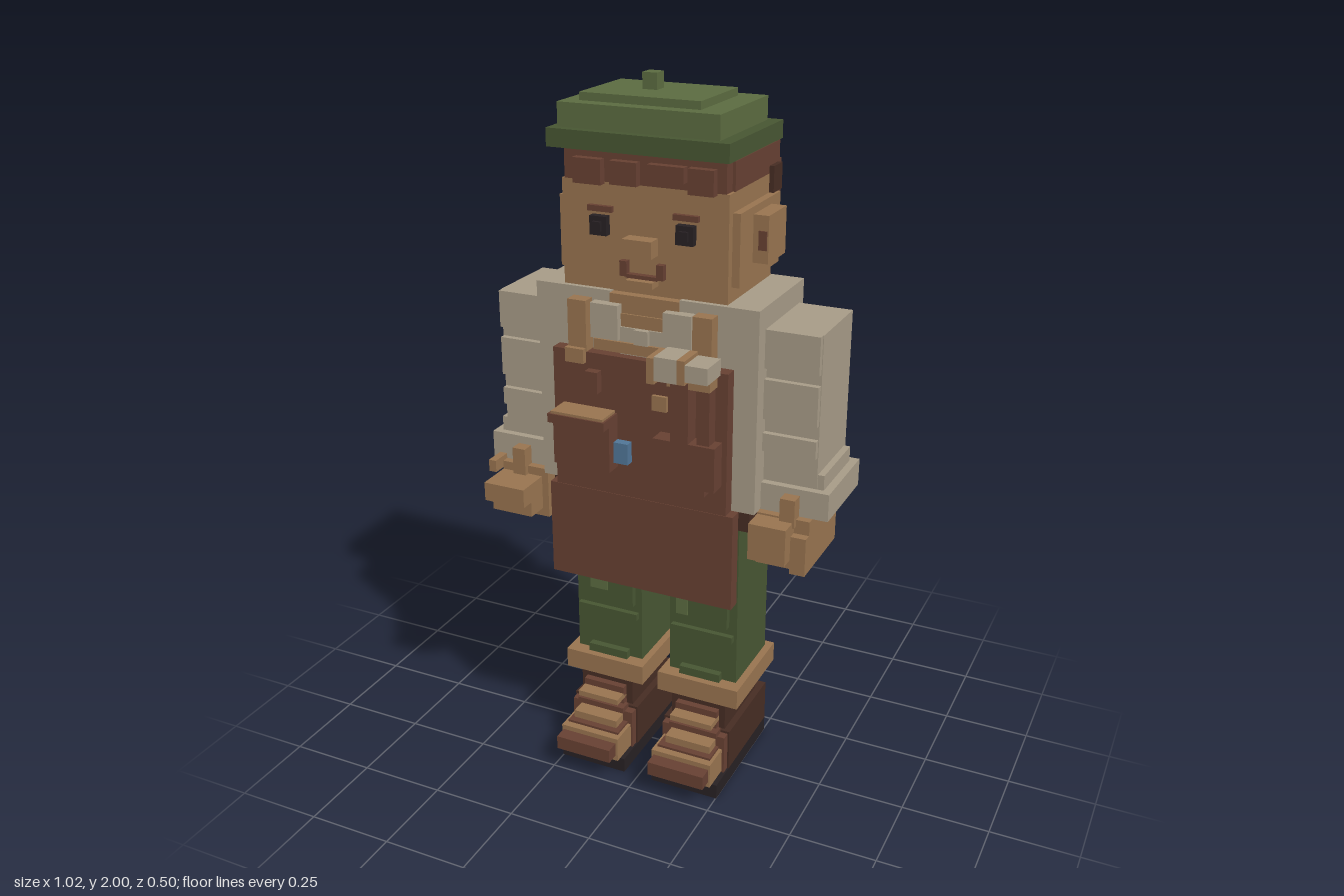
import * as THREE from 'three';

const mat = (name, color) => {
  const m = new THREE.MeshStandardMaterial({ color });
  m.name = name;
  return m;
};

export function createModel() {
  const root = new THREE.Group();
  root.name = 'workerFigure';
  const skin = mat('skinTan', 0x97734f), brown = mat('leatherBrown', 0x664032);
  const dark = mat('darkBrown', 0x462c23), black = mat('nearBlack', 0x272023);
  const shirt = mat('shirtBeige', 0xa69a86), green = mat('trouserGreen', 0x475532);
  const moss = mat('hatGreen', 0x5b6b40), blue = mat('blue', 0x507596);

  const part = (name) => {
    const g = new THREE.Group();
    g.name = name;
    root.add(g);
    return g;
  };
  // Box given by its limits on each axis
  const box = (g, name, m, x0, x1, y0, y1, z0, z1) => {
    const b = new THREE.Mesh(new THREE.BoxGeometry(x1 - x0, y1 - y0, z1 - z0), m);
    b.position.set((x0 + x1) / 2, (y0 + y1) / 2, (z0 + z1) / 2);
    b.name = name;
    g.add(b);
  };
  // The same box on both sides
  const pair = (g, name, m, x0, x1, ...r) => {
    box(g, name + 'Left', m, x0, x1, ...r);
    box(g, name + 'Right', m, -x1, -x0, ...r);
  };

  // Hat: brim, two tiers and stem, set slightly to one side
  const hat = part('hat');
  box(hat, 'brim', green, -0.277, 0.231, 1.825, 1.873, -0.235, 0.127);
  box(hat, 'crown', moss, -0.256, 0.195, 1.873, 1.936, -0.214, 0.102);
  box(hat, 'crownTop', moss, -0.213, 0.126, 1.936, 1.957, -0.175, 0.062);
  box(hat, 'stem', moss, -0.086, -0.044, 1.957, 2, -0.087, -0.045);

  // Head and ears
  const head = part('head');
  box(head, 'skull', skin, -0.233, 0.233, 1.47, 1.75, -0.17, 0.127);
  pair(head, 'cheek', skin, 0.233, 0.254, 1.51, 1.7, -0.17, 0.104);
  box(head, 'jaw', skin, -0.19, 0.19, 1.45, 1.47, -0.15, 0.105);
  box(head, 'neck', skin, -0.1, 0.1, 1.38, 1.46, -0.13, 0.13);
  pair(head, 'ear', skin, 0.254, 0.296, 1.555, 1.68, -0.106, 0.018);
  pair(head, 'earInner', brown, 0.27, 0.292, 1.59, 1.64, 0.018, 0.022);

  // Face
  const face = part('face');
  pair(face, 'eye', black, 0.097, 0.145, 1.615, 1.665, 0.127, 0.148);
  pair(face, 'pupil', black, 0.11, 0.133, 1.627, 1.652, 0.148, 0.157);
  pair(face, 'brow', brown, 0.085, 0.155, 1.675, 1.69, 0.127, 0.14);
  box(face, 'nose', skin, -0.042, 0.04, 1.575, 1.62, 0.127, 0.17);
  pair(face, 'mouthCorner', brown, 0.042, 0.062, 1.515, 1.555, 0.127, 0.145);
  box(face, 'mouth', brown, -0.045, 0.045, 1.512, 1.522, 0.127, 0.145);
  box(face, 'lip', skin, -0.035, 0.04, 1.495, 1.512, 0.127, 0.165);

  // Hair: cap, uneven fringe and back with a ragged hem
  const hair = part('hair');
  box(hair, 'hairCap', brown, -0.233, 0.233, 1.75, 1.825, -0.212, 0.09);
  box(hair, 'hairline', brown, -0.225, 0.225, 1.75, 1.825, 0.09, 0.127);
  [[-0.19, -0.11, 1.745], [-0.085, -0.01, 1.75], [0.02, 0.12, 1.77], [0.13, 0.2, 1.745]].forEach(
    ([a, b, y], i) => box(hair, 'fringe' + i, brown, a, b, y, 1.81, 0.127, 0.15));
  pair(hair, 'sideburn', dark, 0.233, 0.246, 1.7, 1.77, -0.2, -0.14);
  box(hair, 'hairBack', dark, -0.233, 0.233, 1.6, 1.76, -0.212, -0.17);
  box(hair, 'hairBackLayer', brown, -0.23, 0.23, 1.61, 1.775, -0.233, -0.21);
  for (let i = 0; i < 7; i++)
    box(hair, 'hairTip' + i, brown, -0.23 + i * 0.066, -0.175 + i * 0.066,
      1.555 + (i % 3) * 0.018, 1.61, -0.23, -0.17);

  // Shirt body, shoulders and collar
  const body = part('shirt');
  box(body, 'torso', shirt, -0.317, 0.32, 0.9, 1.41, -0.195, 0.127);
  pair(body, 'shoulder', shirt, 0.1, 0.32, 1.41, 1.465, -0.195, 0.127);
  box(body, 'collarBack', shirt, -0.2, 0.2, 1.41, 1.465, -0.21, -0.13);
  pair(body, 'collarWing', shirt, 0.065, 0.145, 1.34, 1.435, 0.127, 0.155);
  box(body, 'placket', shirt, -0.065, 0.065, 1.3, 1.375, 0.127, 0.14);
  box(body, 'neckline', skin, -0.07, 0.07, 1.375, 1.41, 0.125, 0.135);
  box(body, 'neckBand', skin, -0.14, 0.1, 1.305, 1.335, 0.14, 0.148);
  box(body, 'button', shirt, -0.02, 0.02, 1.335, 1.375, 0.14, 0.152);
  box(body, 'backPanel', shirt, -0.28, 0.28, 0.97, 1.4, -0.212, -0.195);
  box(body, 'backPatch', shirt, -0.106, 0.104, 1.11, 1.32, -0.23, -0.21);
  box(body, 'backFold', shirt, -0.085, 0.085, 1.19, 1.24, -0.25, -0.23);
  box(body, 'backYoke', shirt, -0.13, 0.13, 1.35, 1.38, -0.225, -0.21);
  for (let i = 0; i < 7; i++)
    pair(body, 'backPleat' + i, shirt, 0.21, 0.252 - (i % 2) * 0.015,
      1.03 + i * 0.05, 1.055 + i * 0.05, -0.235, -0.21);

  // Straps and belt
  const straps = part('straps');
  pair(straps, 'backStrap', brown, 0.15, 0.21, 1.0, 1.445, -0.252, -0.21);
  for (let i = 0; i < 5; i++)
    pair(straps, 'strapStitch' + i, skin, 0.205, 0.216,
      1.03 + i * 0.08, 1.06 + i * 0.08, -0.235, -0.21);
  pair(straps, 'shoulderStrap', skin, 0.153, 0.207, 1.3, 1.44, 0.127, 0.165);
  box(straps, 'strapEnd', skin, -0.21, -0.155, 1.27, 1.31, 0.16, 0.18);
  box(straps, 'belt', dark, -0.3, 0.297, 0.83, 0.9, -0.208, 0.1);

  // Sleeves with folds, cuffs and hands
  const arms = part('arms');
  pair(arms, 'sleeve', shirt, 0.32, 0.47, 0.98, 1.405, -0.165, 0.066);
  [[1.3, 1.405], [1.16, 1.27], [1.07, 1.12]].forEach(([a, b], i) =>
    pair(arms, 'sleeveFold' + i, shirt, 0.32, 0.468, a, b, 0.066, 0.083));
  pair(arms, 'cuffUpper', shirt, 0.29, 0.488, 0.975, 1.02, -0.153, 0.062);
  pair(arms, 'cuff', shirt, 0.26, 0.51, 0.9, 0.978, -0.175, 0.083);
  pair(arms, 'hand', skin, 0.32, 0.468, 0.75, 0.9, -0.12, 0.105);
  box(arms, 'fingersLeft', skin, 0.32, 0.425, 0.79, 0.895, 0.105, 0.17);
  box(arms, 'fingerTipLeft', skin, 0.425, 0.468, 0.75, 0.86, 0.105, 0.13);
  box(arms, 'thumbLeft', skin, 0.388, 0.43, 0.88, 0.96, 0.083, 0.12);
  box(arms, 'fingersRight', skin, -0.467, -0.34, 0.775, 0.83, 0.105, 0.17);
  box(arms, 'fingerTipsRight', skin, -0.467, -0.34, 0.82, 0.875, 0.105, 0.21);
  box(arms, 'thumbRight', skin, -0.425, -0.385, 0.87, 0.955, 0.083, 0.12);
  box(arms, 'fingerSideRight', skin, -0.49, -0.467, 0.88, 0.915, 0.083, 0.145);

  // Apron with pockets
  const apron = part('apron');
  box(apron, 'bib', brown, -0.254, 0.254, 0.9, 1.3, 0.127, 0.165);
  box(apron, 'skirt', brown, -0.275, 0.275, 0.62, 0.9, 0.127, 0.167);
  box(apron, 'pocketRight', brown, -0.233, -0.064, 0.985, 1.115, 0.165, 0.215);
  box(apron, 'pocketFlapRight', brown, -0.233, -0.064, 1.115, 1.14, 0.165, 0.245);
  box(apron, 'pocketTrimRight', skin, -0.225, -0.07, 1.125, 1.147, 0.165, 0.24);
  box(apron, 'pocketLeft', brown, 0.064, 0.24, 0.985, 1.11, 0.165, 0.215);
  box(apron, 'pocketTabLeft', brown, 0.17, 0.21, 0.965, 0.99, 0.165, 0.21);
  box(apron, 'blueTag', blue, -0.068, -0.022, 1.005, 1.065, 0.165, 0.19);
  box(apron, 'loop', brown, -0.147, -0.11, 1.195, 1.255, 0.165, 0.19);
  box(apron, 'rivet', skin, 0.043, 0.085, 1.17, 1.212, 0.165, 0.175);

  // Tools in the left pocket
  const tools = part('tools');
  box(tools, 'hammerHandle', brown, 0.115, 0.165, 1.11, 1.29, 0.165, 0.215);
  box(tools, 'chiselHandle', brown, 0.185, 0.22, 1.11, 1.28, 0.165, 0.205);
  box(tools, 'hammerHead', shirt, 0.085, 0.148, 1.285, 1.35, 0.165, 0.25);
  box(tools, 'hammerFace', skin, 0.064, 0.085, 1.275, 1.345, 0.165, 0.25);
  box(tools, 'hammerBand', skin, 0.148, 0.17, 1.285, 1.35, 0.165, 0.25);
  box(tools, 'hammerPeen', shirt, 0.17, 0.233, 1.295, 1.34, 0.165, 0.25);
  box(tools, 'toolCollar', skin, 0.105, 0.225, 1.262, 1.287, 0.165, 0.215);

  // Trousers with knee patches, back pockets and turn-ups
  const trousers = part('trousers');
  box(trousers, 'hips', green, -0.254, 0.254, 0.78, 0.83, -0.165, 0.064);
  pair(trousers, 'leg', green, 0.045, 0.254, 0.32, 0.78, -0.165, 0.064);
  pair(trousers, 'kneePad', green, 0.065, 0.23, 0.5, 0.65, 0.064, 0.083);
  pair(trousers, 'legFold', green, 0.055, 0.245, 0.455, 0.475, 0.064, 0.08);
  pair(trousers, 'hemFold', green, 0.085, 0.21, 0.32, 0.345, 0.064, 0.085);
  box(trousers, 'kneePatchRight', moss, -0.2, -0.145, 0.54, 0.615, 0.083, 0.087);
  box(trousers, 'kneePatchLeft', moss, 0.075, 0.11, 0.52, 0.6, 0.083, 0.087);
  pair(trousers, 'backPocket', green, 0.075, 0.225, 0.62, 0.725, -0.18, -0.165);
  pair(trousers, 'backPocketFlap', green, 0.07, 0.23, 0.7, 0.728, -0.188, -0.165);
  pair(trousers, 'turnUp', skin, 0.025, 0.275, 0.26, 0.32, -0.188, 0.105);

  // Boots with layered toes and laces
  const boots = part('boots');
  pair(boots, 'sole', black, 0.045, 0.252, 0, 0.045, -0.188, 0.19);
  pair(boots, 'heel', dark, 0.045, 0.252, 0.045, 0.172, -0.188, 0.1);
  pair(boots, 'shaft', dark, 0.065, 0.233, 0.172, 0.26, -0.15, 0.09);
  pair(boots, 'vamp', brown, 0.05, 0.247, 0.045, 0.165, 0.1, 0.125);
  pair(boots, 'toe', skin, 0.055, 0.24, 0.05, 0.125, 0.125, 0.212);
  pair(boots, 'toeTop', brown, 0.065, 0.23, 0.12, 0.132, 0.125, 0.19);
  pair(boots, 'toeCap', brown, 0.062, 0.235, 0.068, 0.11, 0.21, 0.253);
  pair(boots, 'tongue', brown, 0.085, 0.215, 0.165, 0.235, 0.09, 0.11);
  pair(boots, 'lowerLace', skin, 0.08, 0.22, 0.132, 0.155, 0.125, 0.17);
  pair(boots, 'middleLace', brown, 0.075, 0.225, 0.165, 0.18, 0.1, 0.135);
  pair(boots, 'upperLace', skin, 0.085, 0.215, 0.198, 0.215, 0.09, 0.15);

  return root;
}
